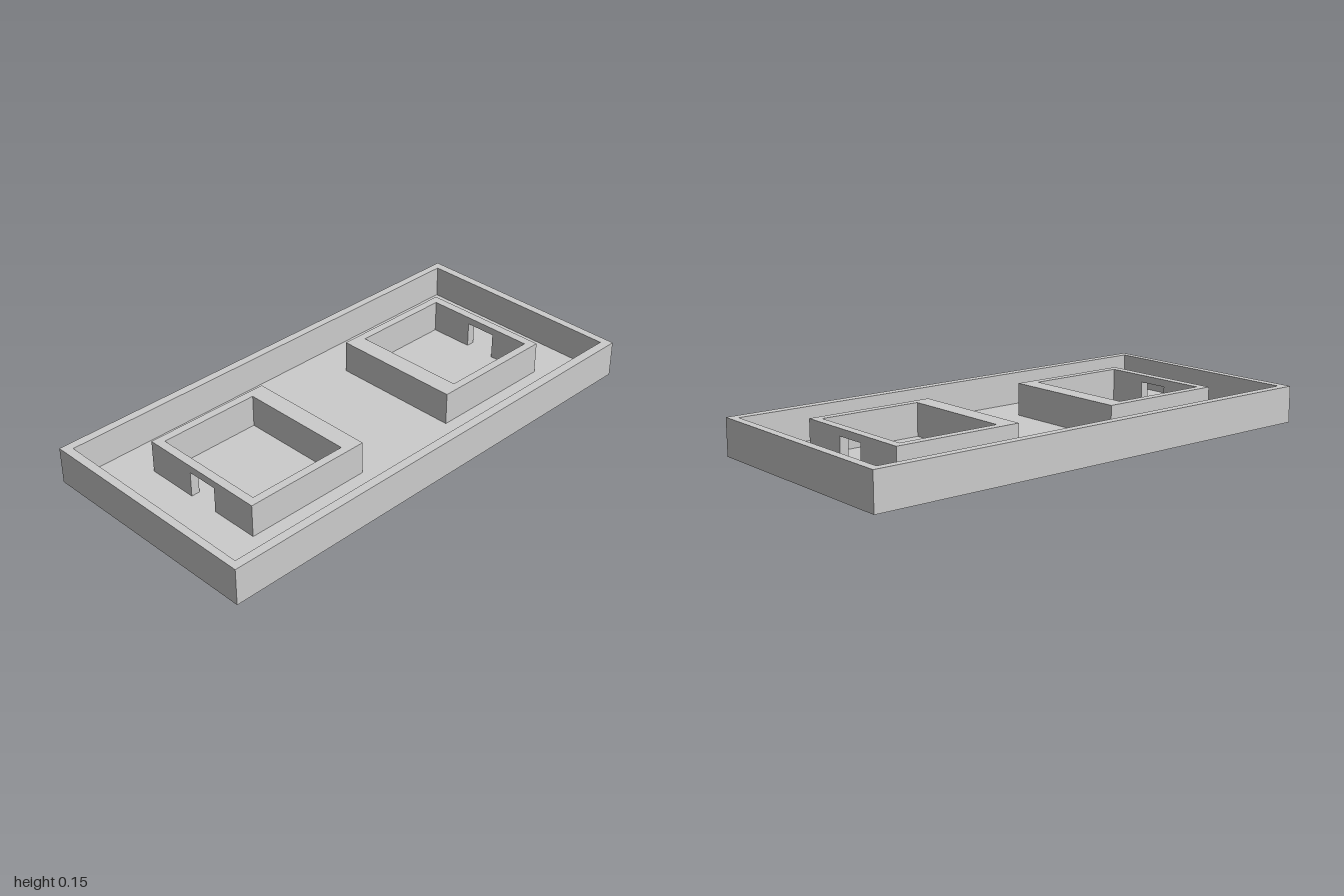
import * as THREE from 'three';

const FLOOR = 0.016, TOP = 0.147;
const material = new THREE.MeshStandardMaterial({ color: 0xcccccc, flatShading: true });

const toShape = (pts) => new THREE.Shape(pts.map(([a, b]) => new THREE.Vector2(a, b)));

// Plan outline given as [x, z] points, raised from y0 to y1
function raise(name, pts, y0, y1, hole) {
  const flip = (list) => list.map(([x, z]) => [x, -z]);
  const shape = toShape(flip(pts));
  if (hole) shape.holes.push(toShape(flip(hole)));
  const geo = new THREE.ExtrudeGeometry(shape, { depth: y1 - y0, bevelEnabled: false });
  geo.rotateX(-Math.PI / 2).translate(0, y0, 0);
  const mesh = new THREE.Mesh(geo, material);
  mesh.name = name;
  return mesh;
}

// Square room: thick wall towards the middle, doorway in the outward wall
function room(name, side) {
  const group = new THREE.Group();
  group.name = name;
  const X = (d) => 0.015 + side * d;
  const zb = -0.277, zf = 0.263, wall = 0.033;
  const inner = 0.225, cavity = 0.30, doorIn = 0.72, outer = 0.755;

  // Three plain walls as one U-shaped plan
  group.add(raise('roomWalls', [
    [X(doorIn), zb], [X(inner), zb], [X(inner), zf], [X(doorIn), zf],
    [X(doorIn), zf - wall], [X(cavity), zf - wall], [X(cavity), zb + wall], [X(doorIn), zb + wall],
  ], FLOOR, TOP));

  // Door wall: elevation with a notch, extruded through its thickness
  const d0 = -0.063, d1 = 0.065, lintel = 0.118;
  const shape = toShape([
    [-zf, FLOOR], [-d1, FLOOR], [-d1, lintel], [-d0, lintel], [-d0, FLOOR],
    [-zb, FLOOR], [-zb, TOP], [-zf, TOP],
  ]);
  const geo = new THREE.ExtrudeGeometry(shape, { depth: outer - doorIn, bevelEnabled: false });
  geo.rotateY(Math.PI / 2).translate(Math.min(X(doorIn), X(outer)), 0, 0);
  const doorWall = new THREE.Mesh(geo, material);
  doorWall.name = 'doorWall';
  group.add(doorWall);
  return group;
}

export function createModel() {
  const model = new THREE.Group();
  model.name = 'walledCompound';

  // Slightly irregular rectangular plan
  const outline = [[-1, 0.477], [0.99, 0.472], [1, -0.477], [-1, -0.473]];
  const inside = [[-0.97, 0.442], [0.958, 0.435], [0.965, -0.445], [-0.965, -0.438]];
  model.add(raise('floor', outline, 0, FLOOR));
  model.add(raise('perimeterWall', outline, FLOOR, TOP, inside));

  model.add(room('leftRoom', 1), room('rightRoom', -1));
  return model;
}
